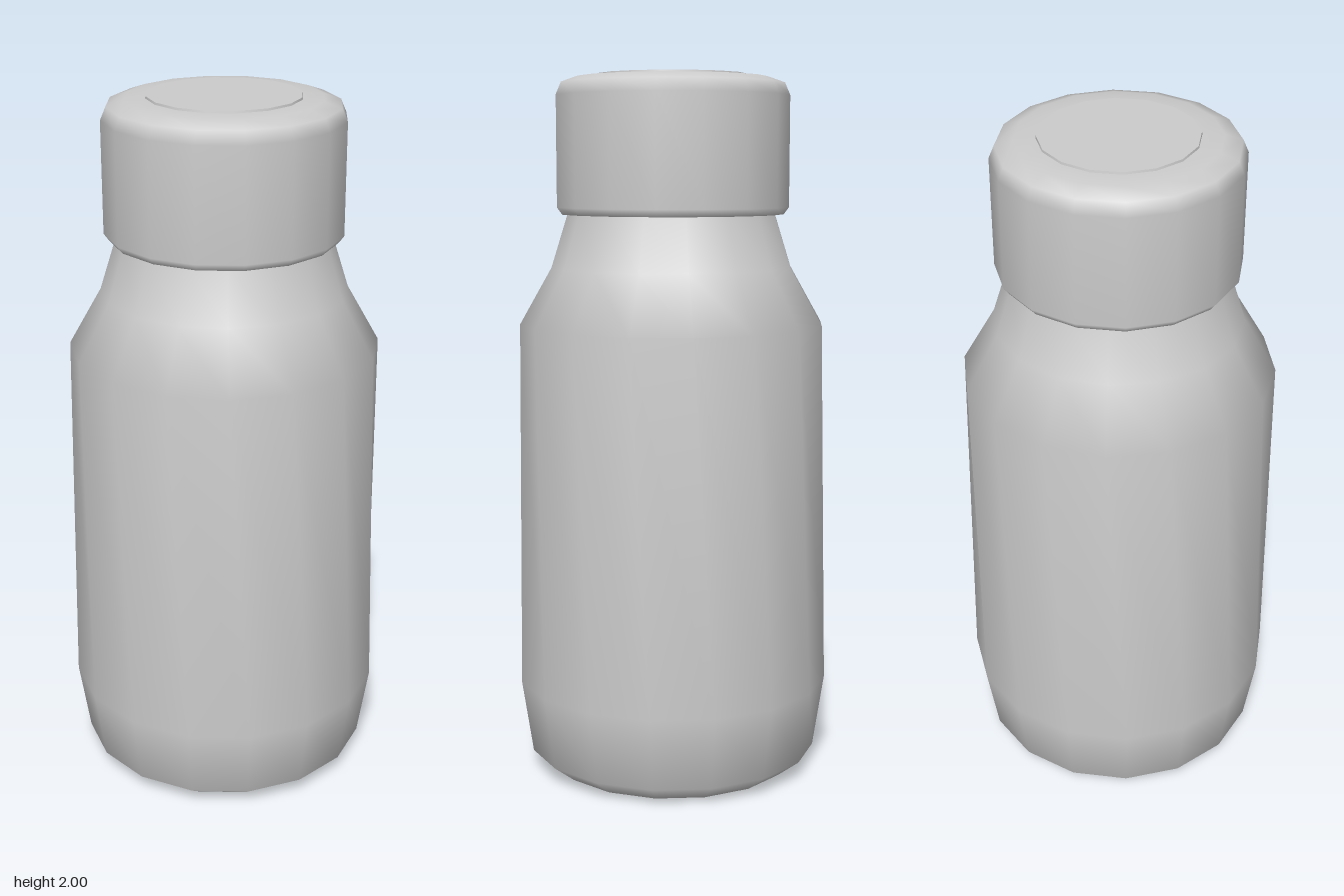
import * as THREE from 'three';

const SIDES = 16;

export function createModel() {
  const model = new THREE.Group();
  model.name = 'bottle';
  const grey = new THREE.MeshStandardMaterial({ color: 0xcccccc });
  grey.name = 'plain grey';

  // Turned part from a [radius, height] profile running up the outside
  const turn = (name, profile, parent, start = 0) => {
    const points = profile.map(([r, y]) => new THREE.Vector2(r, y));
    const mesh = new THREE.Mesh(new THREE.LatheGeometry(points, SIDES, start), grey);
    mesh.name = name;
    parent.add(mesh);
    return mesh;
  };

  const body = new THREE.Group();
  body.name = 'body';
  const cap = new THREE.Group();
  cap.name = 'cap';
  model.add(body, cap);

  // Body: flat base, rounded foot, slightly tapering wall, shoulder and neck
  const wall = turn('bodyWall', [
    [0.355, 0], [0.42, 0.05], [0.452, 0.26], [0.436, 1.3], [0.345, 1.46], [0.295, 1.62],
  ], body);
  // Twist the lower rings against the shoulder so the facets run slightly diagonally
  const pos = wall.geometry.attributes.position;
  const nor = wall.geometry.attributes.normal;
  const axis = new THREE.Vector3(0, 1, 0);
  const v = new THREE.Vector3();
  for (let i = 0; i < pos.count; i++) {
    if (pos.getY(i) > 1) continue;
    for (const attribute of [pos, nor]) {
      v.fromBufferAttribute(attribute, i).applyAxisAngle(axis, 0.13);
      attribute.setXYZ(i, v.x, v.y, v.z);
    }
  }
  turn('base', [[0, 0], [0.355, 0]], body, 0.13);

  // Cap: underside lip, rounded skirt and a slightly raised centre disc
  turn('capUnderside', [[0.27, 1.61], [0.318, 1.61]], cap, 0.13);
  turn('capSkirt', [
    [0.318, 1.61], [0.333, 1.63], [0.333, 1.94], [0.318, 1.975], [0.27, 1.992], [0.21, 1.994],
  ], cap, 0.13);
  turn('discEdge', [[0.213, 1.99], [0.211, 2]], cap, 0.13);
  turn('topDisc', [[0.211, 2], [0, 2]], cap, 0.13);

  return model;
}
